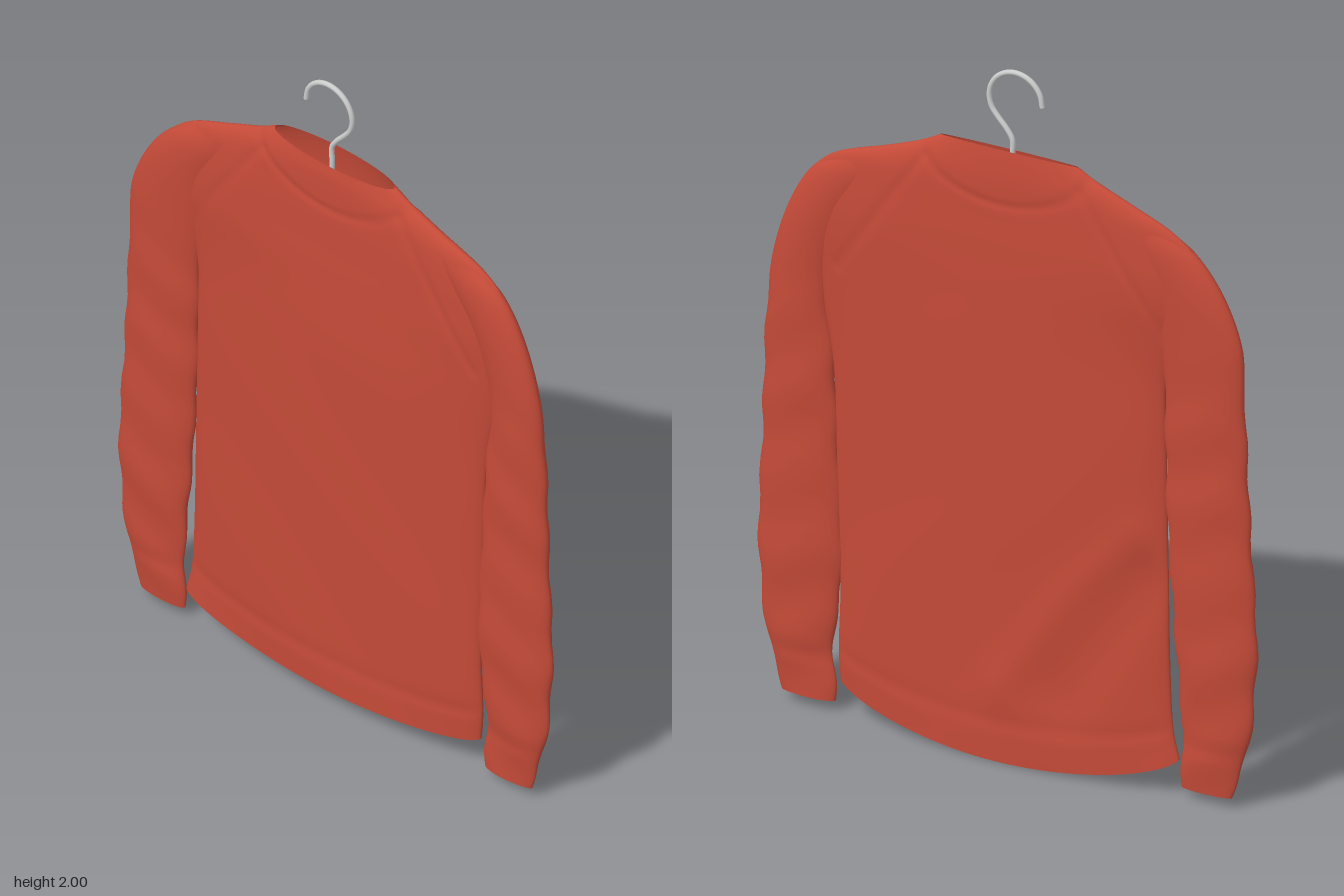
import * as THREE from 'three';

const wool = new THREE.MeshStandardMaterial({ color: 0xc44a38, side: THREE.DoubleSide });
const metal = new THREE.MeshStandardMaterial({ color: 0xcccccc });

const bump = (d, w) => Math.exp(-(d * d) / (w * w));

// Distance from (z, y) to the segment a-b
function segDist(z, y, [az, ay], [bz, by]) {
  const dz = bz - az, dy = by - ay;
  const t = THREE.MathUtils.clamp(((z - az) * dz + (y - ay) * dy) / (dz * dz + dy * dy), 0, 1);
  return Math.hypot(z - az - t * dz, y - ay - t * dy);
}

// Open tube of elliptical sections; keys are [y, zMax, zMin, halfThickness, xCentre]
function loft(name, keys, rows, cols, shape) {
  const curve = new THREE.CubicInterpolant(keys.map((_, i) => i), keys.flat(), 5);
  const pos = [], idx = [], p = new THREE.Vector3();
  for (let i = 0; i <= rows; i++) {
    const [y, z1, z0, t, cx] = curve.evaluate((i / rows) * (keys.length - 1));
    for (let j = 0; j < cols; j++) {
      const a = (j / cols) * Math.PI * 2;
      p.set(cx + t * Math.sin(a), y, (z1 + z0) / 2 + ((z1 - z0) / 2) * Math.cos(a));
      shape(p, Math.sin(a), Math.cos(a));
      pos.push(p.x, p.y, p.z);
      if (i < rows) {
        const k = (j + 1) % cols, b = i * cols, c = b + cols;
        idx.push(b + j, b + k, c + j, b + k, c + k, c + j);
      }
    }
  }
  const g = new THREE.BufferGeometry();
  g.setAttribute('position', new THREE.Float32BufferAttribute(pos, 3));
  g.setIndex(idx);
  g.computeVertexNormals();
  const m = new THREE.Mesh(g, wool);
  m.name = name;
  return m;
}

// Torso: curved hem, collar and raglan seams, one diagonal fold
function shapeTorso(p, s, c) {
  const side = Math.sign(s);
  let d = 0;
  d -= 0.003 * bump(Math.hypot(p.z / 0.27, (p.y - 1.79) / 0.17) - 1, 0.07);
  for (const m of [1, -1]) d -= 0.003 * bump(segDist(p.z, p.y, [m * 0.24, 1.7], [m * 0.5, 1.32]), 0.014);
  d -= 0.003 * bump(p.y - 0.2, 0.015);
  if (side > 0) {
    d += 0.007 * bump(segDist(p.z, p.y, [0.0, 0.28], [-0.4, 0.74]), 0.05);
    d -= 0.012 * bump(segDist(p.z, p.y, [-0.2, 0.3], [-0.44, 0.6]), 0.09);
  }
  d += 0.002 * Math.sin(p.y * 11 + p.z * 9) * (1 - p.y / 1.8);
  p.x += side * d * Math.min(1, Math.abs(s) * 2.5);
  // lower the hem in the middle, deeper on the +x side
  const drop = (side > 0 ? 0.105 : 0.05) * Math.pow(Math.abs(s), 1.5);
  p.y -= drop * Math.max(0, 1 - (p.y - 0.105) / 0.45);
  // tilt the neckline slightly
  p.y += 0.012 * s * THREE.MathUtils.smoothstep(p.y, 1.66, 1.77);
}

// Sleeve: soft wrinkles, tighter cuff seam
function shapeSleeve(p, s, c) {
  const fade = THREE.MathUtils.smoothstep(1.35 - p.y, 0, 0.3);
  p.x += s * fade * (0.003 * Math.sin(p.y * 26 + p.z * 14) - 0.004 * bump(p.y - 0.16, 0.02));
  p.z += c * fade * 0.004 * Math.sin(p.y * 31);
}

const tube = (name, pts, r, n) => {
  const curve = new THREE.CatmullRomCurve3(pts.map(([z, y]) => new THREE.Vector3(-0.003, y, z)));
  const m = new THREE.Mesh(new THREE.TubeGeometry(curve, n, r, 14), metal);
  m.name = name;
  return m;
};

export function createModel() {
  const model = new THREE.Group();
  model.name = 'sweaterOnHanger';

  const sweater = new THREE.Group();
  sweater.name = 'sweater';
  sweater.add(loft('torso', [
    [0.105, 0.505, -0.52, 0.056, -0.002],
    [0.2, 0.51, -0.5, 0.056, -0.002],
    [0.4, 0.505, -0.49, 0.056, -0.003],
    [0.7, 0.515, -0.485, 0.056, -0.003],
    [1.0, 0.525, -0.48, 0.056, -0.003],
    [1.2, 0.56, -0.48, 0.055, -0.003],
    [1.32, 0.59, -0.52, 0.053, -0.002],
    [1.42, 0.63, -0.6, 0.051, -0.001],
    [1.5, 0.635, -0.628, 0.048, 0],
    [1.58, 0.585, -0.575, 0.045, 0],
    [1.64, 0.51, -0.5, 0.042, 0.001],
    [1.69, 0.37, -0.38, 0.04, 0.001],
    [1.73, 0.265, -0.28, 0.036, 0],
    [1.763, 0.2, -0.215, 0.03, 0],
  ], 120, 240, shapeTorso));

  // Sleeves, inner ends buried in the torso
  const sleeveKeys = [
    // y, outer left, inner left, outer right, inner right, half thickness
    [0.03, 0.68, 0.525, 0.675, 0.53, 0.018],
    [0.1, 0.7, 0.52, 0.7, 0.525, 0.022],
    [0.2, 0.73, 0.53, 0.73, 0.53, 0.026],
    [0.33, 0.745, 0.51, 0.745, 0.52, 0.03],
    [0.5, 0.753, 0.5, 0.753, 0.505, 0.033],
    [0.8, 0.74, 0.515, 0.735, 0.485, 0.034],
    [1.0, 0.735, 0.525, 0.725, 0.48, 0.035],
    [1.22, 0.72, 0.545, 0.715, 0.475, 0.035],
    [1.35, 0.697, 0.52, 0.708, 0.45, 0.036],
    [1.48, 0.65, 0.46, 0.655, 0.42, 0.037],
    [1.58, 0.587, 0.38, 0.578, 0.36, 0.034],
    [1.64, 0.5, 0.33, 0.49, 0.32, 0.025],
  ];
  sweater.add(loft('leftSleeve', sleeveKeys.map(k => [k[0], k[1], k[2], k[5], -0.003]), 64, 48, shapeSleeve));
  sweater.add(loft('rightSleeve', sleeveKeys.map(k => [k[0], -k[4], -k[3], k[5], -0.003]), 64, 48, shapeSleeve));
  model.add(sweater);

  // Hanger: arched shoulder bar, stem and hook
  const hanger = new THREE.Group();
  hanger.name = 'hanger';
  hanger.add(tube('shoulderBar', [[0.46, 1.52], [0.33, 1.6], [0.17, 1.67], [-0.01, 1.7], [-0.19, 1.67], [-0.35, 1.6], [-0.48, 1.52]], 0.018, 60));
  const hook = [[-0.014, 1.69], [-0.014, 1.75], [-0.014, 1.795], [0.002, 1.822]];
  for (let i = 0; i <= 10; i++) {
    const a = THREE.MathUtils.degToRad(-48 + i * 22.8);
    hook.push([-0.024 + 0.08 * Math.cos(a), 1.912 + 0.08 * Math.sin(a)]);
  }
  hanger.add(tube('hook', hook, 0.0075, 90));
  const tip = new THREE.Mesh(new THREE.SphereGeometry(0.0075, 12, 8), metal);
  tip.name = 'hookTip';
  const [tz, ty] = hook[hook.length - 1];
  tip.position.set(-0.003, ty, tz);
  hanger.add(tip);
  model.add(hanger);
  return model;
}
